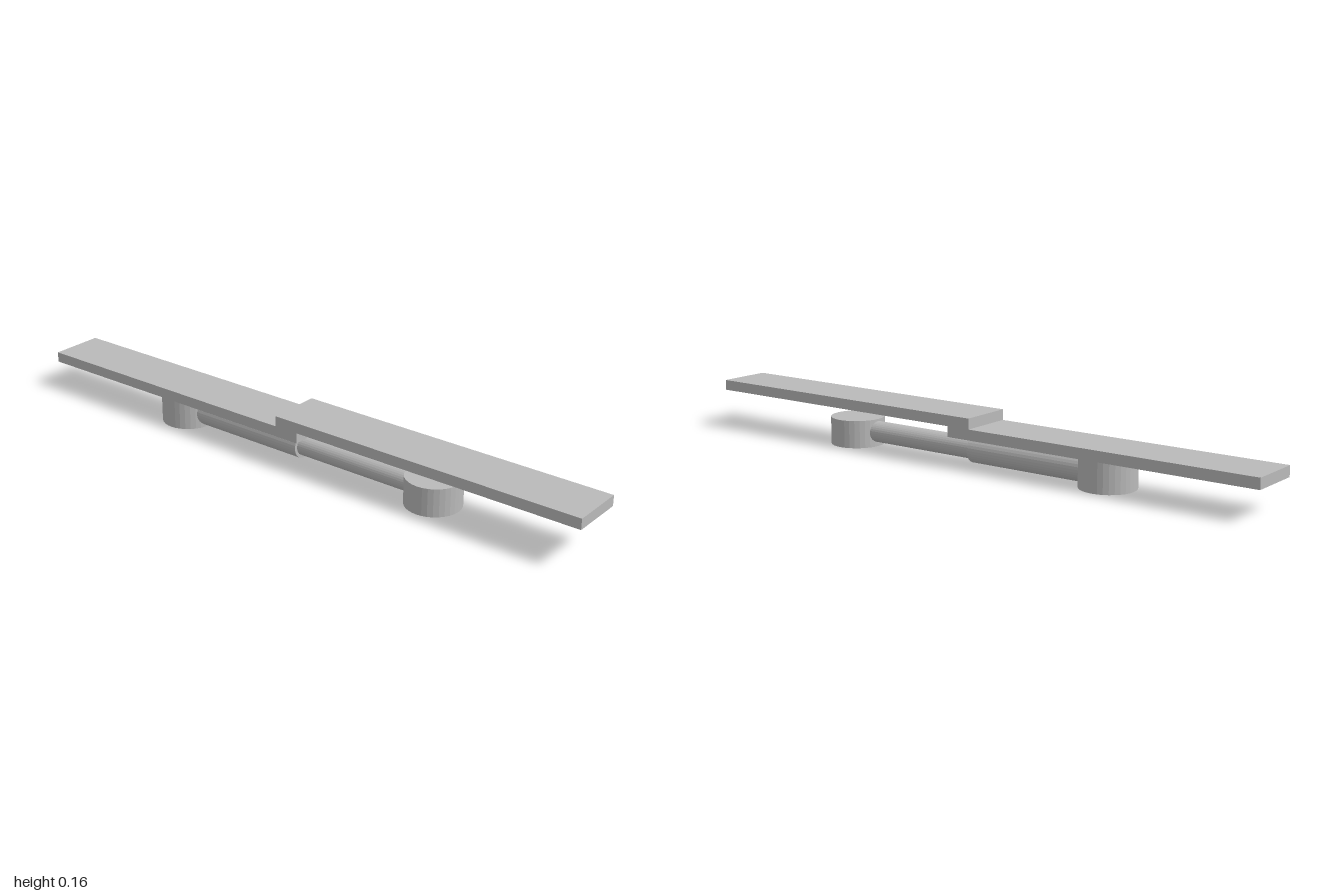
import * as THREE from 'three';

export function createModel() {
  const model = new THREE.Group();
  model.name = 'slidingPlateAssembly';
  const grey = new THREE.MeshStandardMaterial({ color: 0xbababa, flatShading: true });
  grey.name = 'plain grey';

  const add = (name, geometry, x, y, z) => {
    const mesh = new THREE.Mesh(geometry, grey);
    mesh.name = name;
    mesh.position.set(x, y, z);
    model.add(mesh);
  };

  // Flat plate spanning z0..z1, with its underside at y
  const plate = (name, y, z0, z1) =>
    add(name, new THREE.BoxGeometry(0.174, 0.0335, z1 - z0), 0, y + 0.01675, (z0 + z1) / 2);

  // Upright round foot
  const foot = (name, height, z) =>
    add(name, new THREE.CylinderGeometry(0.087, 0.087, height, 32), 0, height / 2, z);

  // Horizontal rod along z
  const rod = (name, radius, z0, z1) =>
    add(name, new THREE.CylinderGeometry(radius, radius, z1 - z0, 32).rotateX(Math.PI / 2),
      0, 0.048, (z0 + z1) / 2);

  // Overlapping plates
  plate('upperPlate', 0.127, -0.04, 1);
  plate('lowerPlate', 0.0935, -1, 0.04);

  // Feet; the rear one meets the lower plate
  foot('frontFoot', 0.089, 0.479);
  foot('rearFoot', 0.0935, -0.479);

  // Telescoping rod: thin inner part slides into the thicker sleeve
  rod('innerRod', 0.034, -0.02, 0.44);
  rod('outerSleeve', 0.044, -0.44, 0);

  return model;
}
